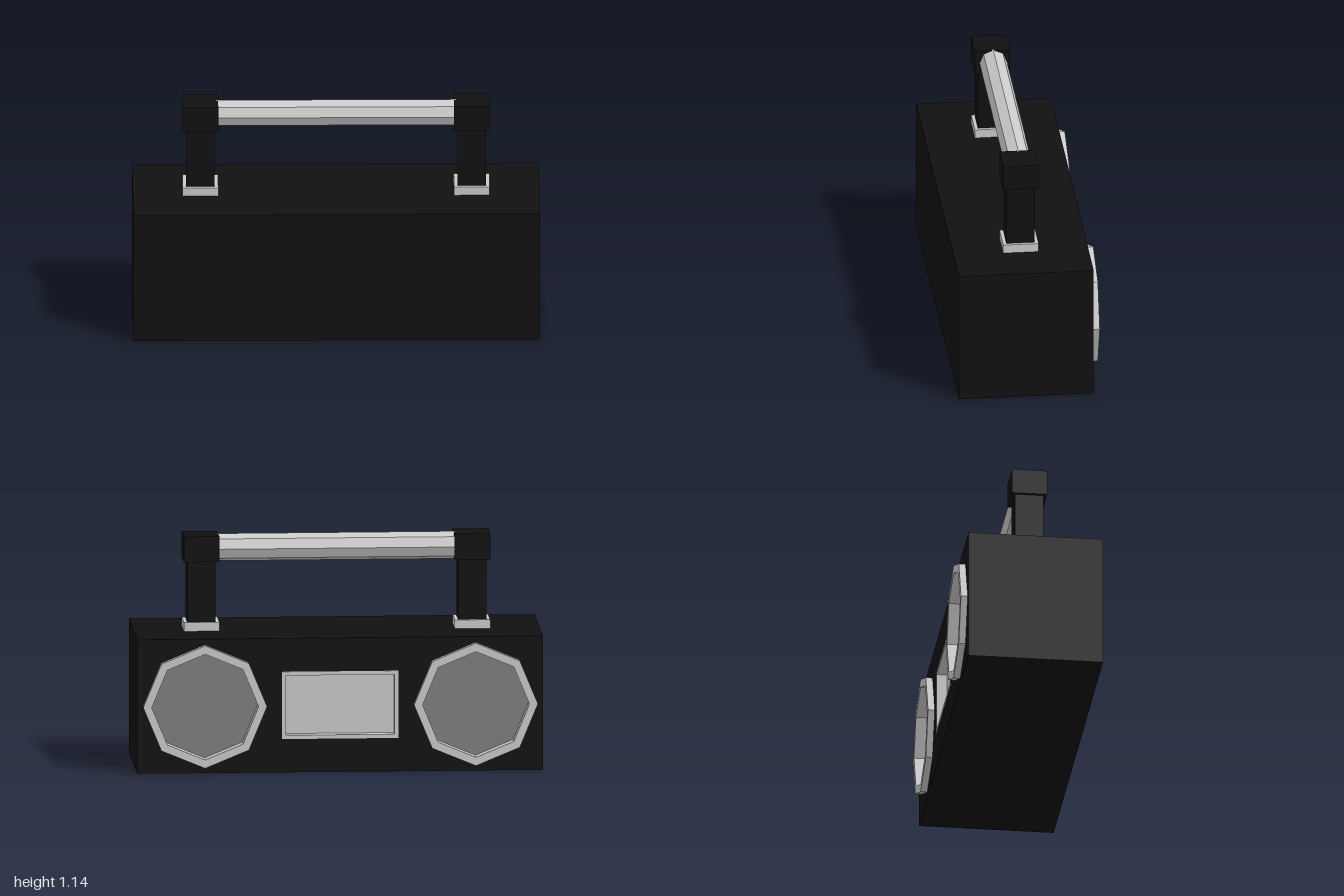
import * as THREE from 'three';

const grey = new THREE.MeshStandardMaterial({ color: 0xcccccc, flatShading: true });
const black = new THREE.MeshStandardMaterial({ color: 0x111111, flatShading: true });
const dark = new THREE.MeshStandardMaterial({ color: 0x808080, flatShading: true });

const BACK = -0.317, MID_Y = 0.334, SPEAKER_X = 0.667, MID_Z = 0.017;

// Closed outlines around a centre, usable as shapes or holes
const octagon = (r, x = 0, y = 0) => Array.from({ length: 8 }, (_, i) =>
  new THREE.Vector2(x + r * Math.cos(i * Math.PI / 4), y + r * Math.sin(i * Math.PI / 4)));
const rectangle = (w, h, x = 0, y = 0) => [[-1, -1], [1, -1], [1, 1], [-1, 1]].map(
  ([a, b]) => new THREE.Vector2(x + a * w / 2, y + b * h / 2));

function plate(outline, holes, depth) {
  const shape = new THREE.Shape(outline);
  shape.holes = holes.map((h) => new THREE.Path(h));
  return new THREE.ExtrudeGeometry(shape, { depth, bevelEnabled: false });
}

function add(parent, name, geometry, material, x, y, z) {
  const mesh = new THREE.Mesh(geometry, material);
  mesh.name = name;
  mesh.position.set(x, y, z);
  parent.add(mesh);
  return mesh;
}

export function createModel() {
  const model = new THREE.Group();
  model.name = 'portableStereo';

  // Case: solid block, with a pierced panel on the speaker side
  const panelDepth = 0.1;
  const blockDepth = 0.667 - panelDepth;
  add(model, 'caseBlock', new THREE.BoxGeometry(2, 0.667, blockDepth), black,
    0, MID_Y, 0.35 - blockDepth / 2);
  add(model, 'speakerPanel', plate(rectangle(2, 0.667), [
    octagon(0.285, SPEAKER_X), octagon(0.285, -SPEAKER_X), rectangle(0.55, 0.31),
  ], panelDepth), black, 0, MID_Y, BACK);

  // Recessed display with a flush frame
  const display = new THREE.Group();
  display.name = 'display';
  model.add(display);
  add(display, 'displayFrame', plate(rectangle(0.573, 0.335), [rectangle(0.535, 0.297)], 0.06),
    grey, 0, MID_Y, BACK - 0.002);
  add(display, 'displayScreen', new THREE.BoxGeometry(0.54, 0.302, 0.02), grey, 0, MID_Y, BACK + 0.06);

  for (const side of [-1, 1]) {
    const label = side > 0 ? 'left' : 'right';

    // Speaker: raised octagonal rim around a sunken cone plate
    const speaker = new THREE.Group();
    speaker.name = label + 'Speaker';
    speaker.position.set(side * SPEAKER_X, MID_Y, -0.35);
    model.add(speaker);
    add(speaker, 'speakerRim', plate(octagon(0.305), [octagon(0.263)], 0.085), grey, 0, 0, 0);
    add(speaker, 'speakerCone', plate(octagon(0.27), [], 0.02), dark, 0, 0, 0.067);

    // Handle support: foot, post and cap
    const support = new THREE.Group();
    support.name = label + 'HandleSupport';
    support.position.set(side * 0.667, 0, MID_Z);
    model.add(support);
    add(support, 'foot', new THREE.BoxGeometry(0.175, 0.045, 0.175), grey, 0, 0.6885, 0);
    add(support, 'post', new THREE.BoxGeometry(0.14, 0.33, 0.14), black, 0, 0.855, 0);
    add(support, 'cap', new THREE.BoxGeometry(0.175, 0.127, 0.175), black, 0, 1.0745, 0);
  }

  // Octagonal grip between the caps
  const grip = add(model, 'handleGrip', new THREE.CylinderGeometry(0.068, 0.068, 1.18, 8), grey,
    0, 1.072, 0.013);
  grip.rotation.z = Math.PI / 2;

  return model;
}
